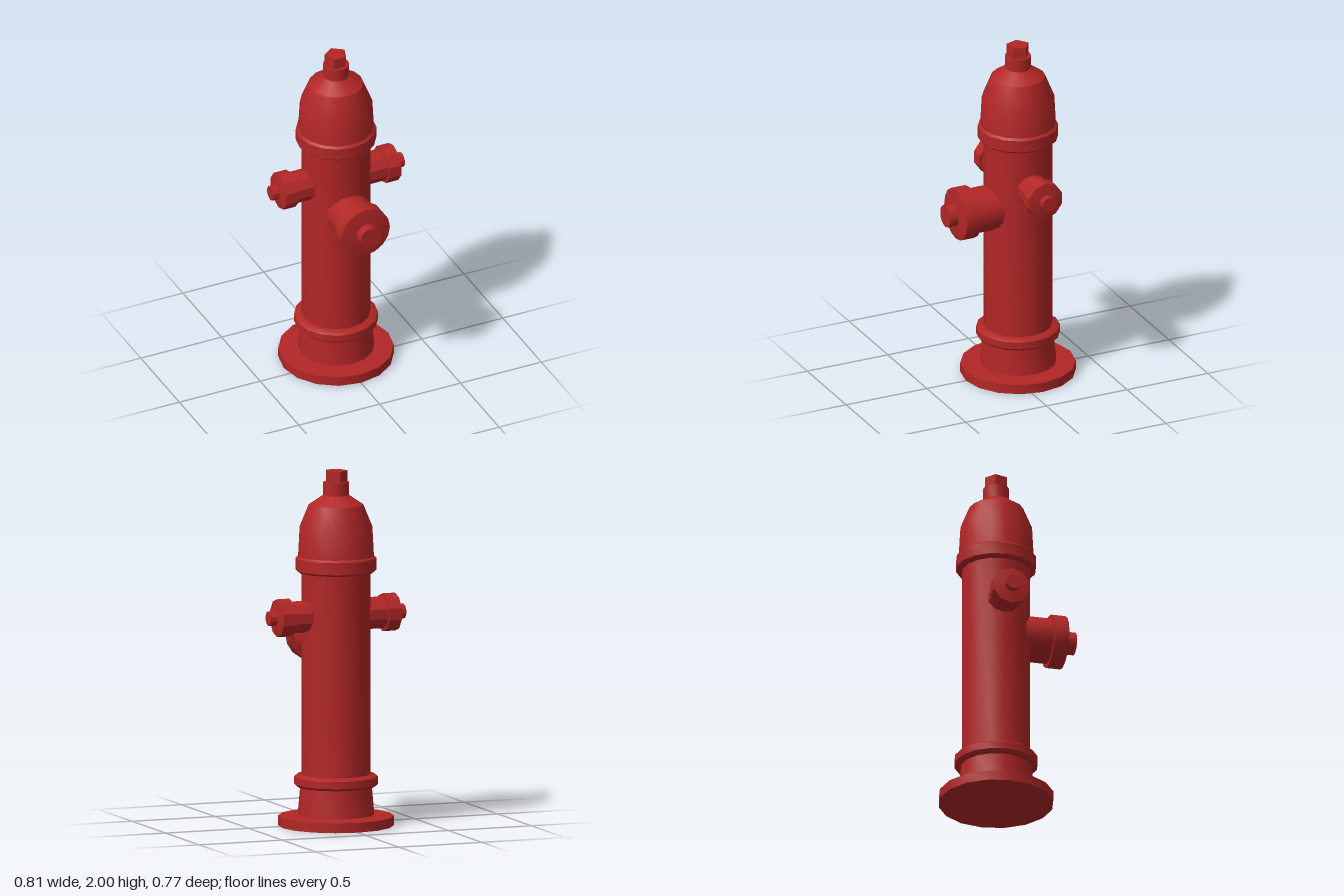
import * as THREE from 'three';
import { toCreasedNormals } from 'three/addons/utils/BufferGeometryUtils.js';

const AXIS_Z = -0.065; // the barrel stands slightly behind the centre

const red = new THREE.MeshStandardMaterial({ color: 0xb22626 });
red.name = 'hydrant red';

// Turned part from [radius, height] pairs, listed bottom to top
function turned(name, profile, sides, phiStart = 0) {
  const points = profile.map(([r, y]) => new THREE.Vector2(r, y));
  const lathe = new THREE.LatheGeometry(points, sides, phiStart);
  const mesh = new THREE.Mesh(toCreasedNormals(lathe, 0.58), red);
  mesh.name = name;
  return mesh;
}

export function createModel() {
  const model = new THREE.Group();
  model.name = 'fireHydrant';

  // Upright parts, all on the barrel axis
  const upright = new THREE.Group();
  upright.name = 'upright';
  upright.position.z = AXIS_Z;
  upright.add(
    turned('basePlate', [[0, 0], [0.323, 0], [0.323, 0.055], [0.214, 0.062], [0, 0.062]], 16),
    turned('foot', [[0.214, 0.06], [0.2, 0.222]], 16),
    turned('lowerFlange', [[0.19, 0.217], [0.222, 0.222], [0.235, 0.235],
      [0.235, 0.276], [0.222, 0.286], [0.19, 0.291]], 16),
    turned('barrel', [[0.192, 0.28], [0.192, 1.44]], 16),
    turned('upperFlange', [[0.19, 1.426], [0.213, 1.429], [0.225, 1.44],
      [0.225, 1.508], [0.213, 1.52], [0.19, 1.522]], 16),
    turned('dome', [[0.212, 1.515], [0.203, 1.685], [0.153, 1.808], [0.073, 1.862], [0, 1.862]], 16),
    turned('topCollar', [[0.073, 1.855], [0.073, 1.935], [0, 1.935]], 16),
    turned('topNut', [[0.065, 1.93], [0.065, 2], [0, 2]], 5, Math.PI)
  );
  model.add(upright);

  // Large front outlet
  const frontOutlet = new THREE.Group();
  frontOutlet.name = 'frontOutlet';
  frontOutlet.position.set(0, 1.035, 0);
  frontOutlet.rotation.x = Math.PI / 2;
  frontOutlet.add(
    turned('frontPipe', [[0.128, 0], [0.128, 0.24]], 16),
    turned('frontCap', [[0, 0.235], [0.15, 0.235], [0.15, 0.32], [0.065, 0.333], [0, 0.333]], 16),
    turned('frontCapNut', [[0.064, 0.325], [0.064, 0.386], [0, 0.386]], 16)
  );
  model.add(frontOutlet);

  // Small outlets on both sides
  for (const side of [1, -1]) {
    const outlet = new THREE.Group();
    outlet.name = side > 0 ? 'leftOutlet' : 'rightOutlet';
    outlet.position.set(0, 1.185, AXIS_Z);
    outlet.rotation.z = -side * Math.PI / 2;
    const start = Math.PI / 2;
    outlet.add(
      turned('sidePipe', [[0.09, 0.12], [0.09, 0.285]], 10, start),
      turned('sideCap', [[0, 0.28], [0.107, 0.28], [0.107, 0.355], [0.042, 0.367], [0, 0.367]], 10, start),
      turned('sideCapNut', [[0.042, 0.36], [0.042, 0.407], [0, 0.407]], 10, start)
    );
    model.add(outlet);
  }

  return model;
}
